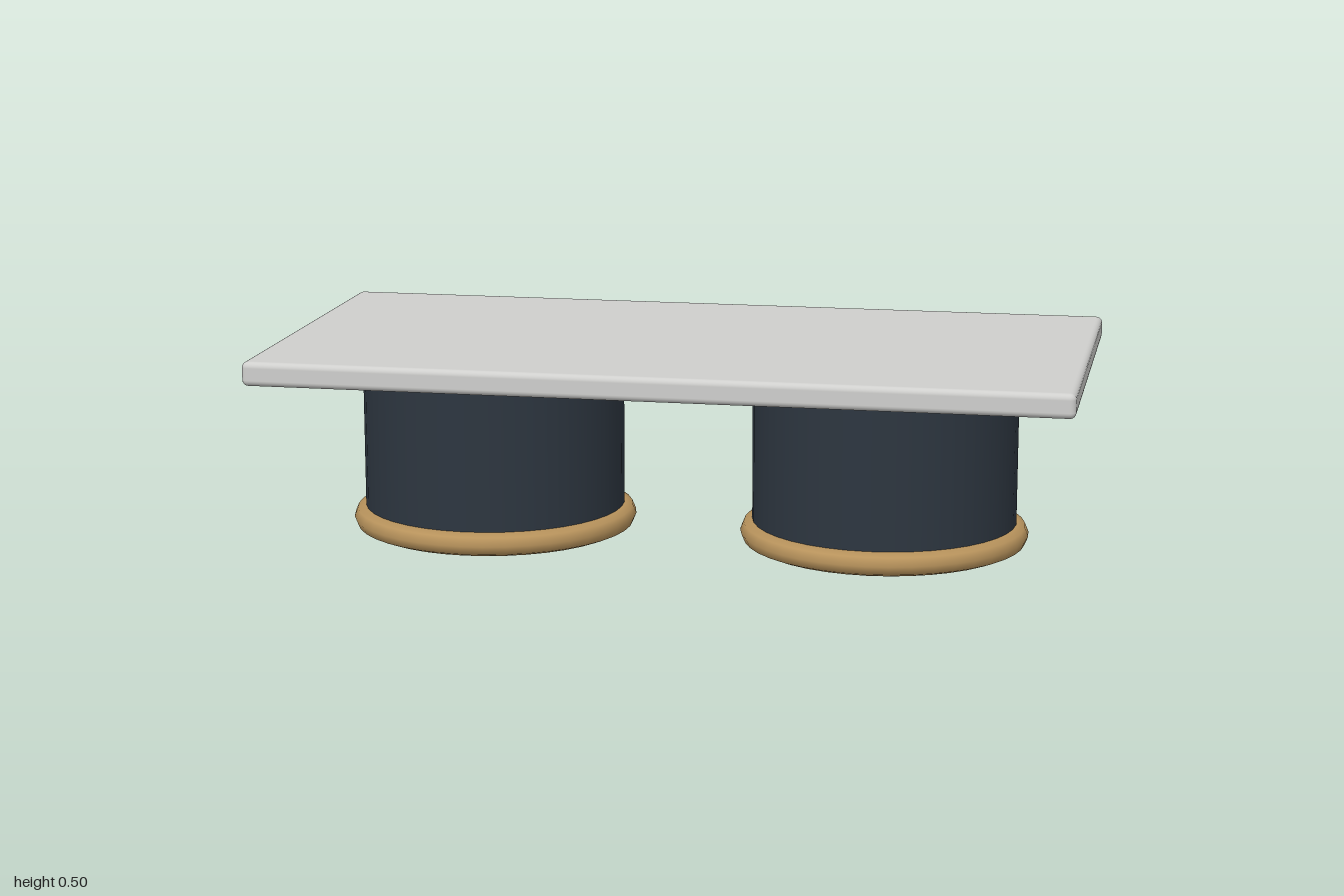
import * as THREE from 'three';
import { RoundedBoxGeometry } from 'three/addons/geometries/RoundedBoxGeometry.js';

const material = (name, color, side = THREE.FrontSide) => {
  const m = new THREE.MeshStandardMaterial({ color, side });
  m.name = name;
  return m;
};

export function createModel() {
  const stone = material('pale stone', 0xcfcfcd);
  const charcoal = material('charcoal', 0x2d3640, THREE.DoubleSide);
  const brass = material('brass', 0xb8935c);
  const glow = material('pale gold', 0xd6b883);

  const model = new THREE.Group();
  model.name = 'table';
  const add = (parent, name, geometry, mat, y) => {
    const mesh = new THREE.Mesh(geometry, mat);
    mesh.name = name;
    mesh.position.y = y;
    parent.add(mesh);
    return mesh;
  };

  // Softly rounded slab
  add(model, 'tableTop', new RoundedBoxGeometry(2, 0.06, 1, 3, 0.015), stone, 0.47);

  // Two hollow drums, each with a rim ring and a small disc inside
  for (const side of [-1, 1]) {
    const base = new THREE.Group();
    base.name = side > 0 ? 'leftBase' : 'rightBase';
    base.position.x = side * 0.5;
    model.add(base);

    add(base, 'drumWall', new THREE.CylinderGeometry(0.33, 0.33, 0.4, 40, 1, true), charcoal, 0.23);
    add(base, 'rimRing', new THREE.TorusGeometry(0.33, 0.03, 8, 40).rotateX(-Math.PI / 2), brass, 0.03);
    add(base, 'innerDisc', new THREE.CylinderGeometry(0.215, 0.215, 0.02, 40), glow, 0.05);
  }
  return model;
}
